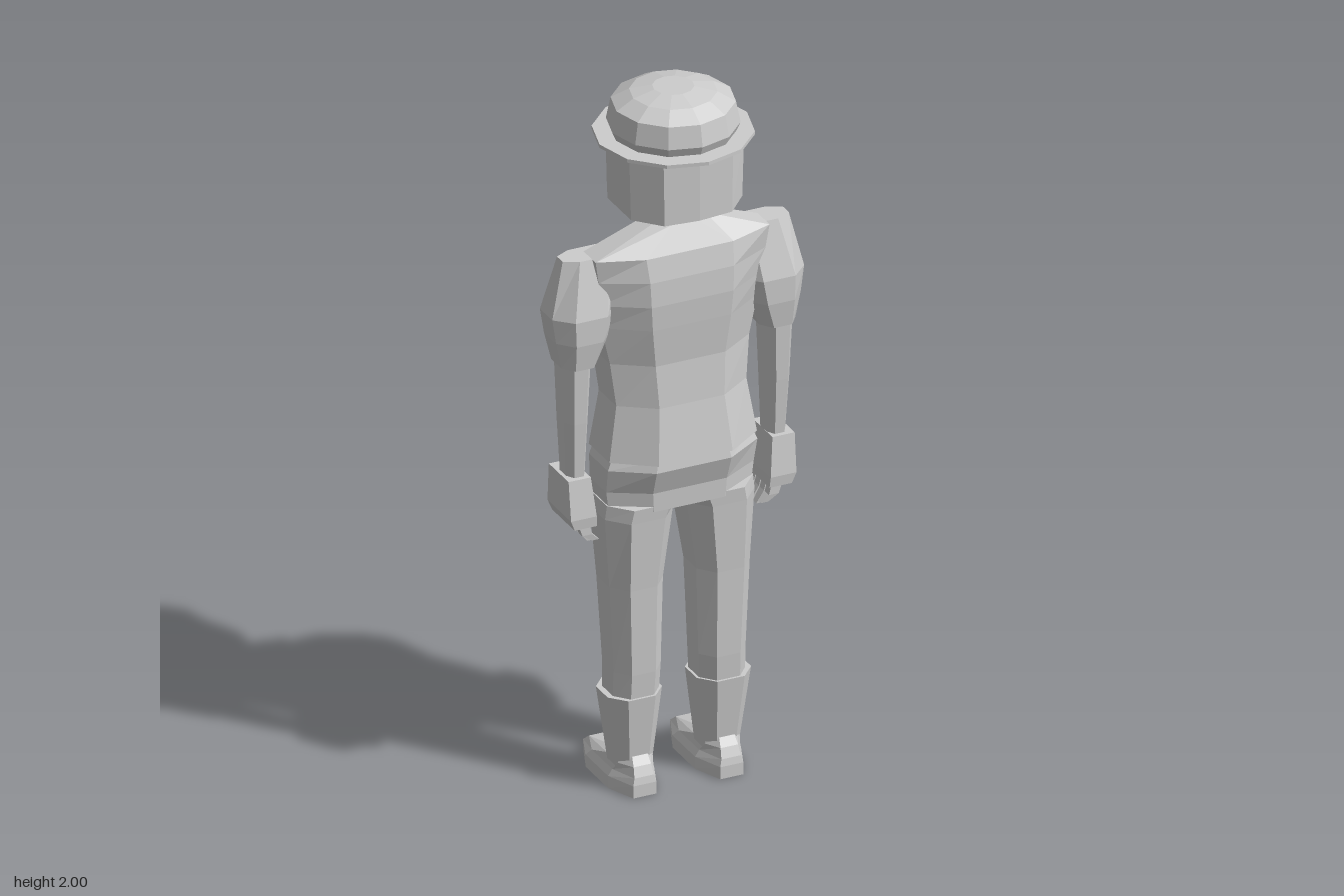
import * as THREE from 'three';

const grey = new THREE.MeshStandardMaterial({ color: 0xcccccc, flatShading: true, side: THREE.DoubleSide });
grey.name = 'light grey';

const OCT = [[1, -0.45], [0.5, -1], [-0.5, -1], [-1, -0.45], [-1, 0.45], [-0.5, 1], [0.5, 1], [1, 0.45]];
const BOX = [[1, -1], [-1, -1], [-1, 1], [1, 1]];

// Stacks rings from bottom to top; each section is [y, centre x, half width, z min, z max]
function loft(sections, profile = OCT) {
  const n = profile.length, pos = [], idx = [];
  for (const [y, cx, hw, z0, z1] of sections)
    for (const [u, v] of profile) pos.push(cx + u * hw, y, (z0 + z1) / 2 + v * (z1 - z0) / 2);
  for (let r = 0; r < sections.length - 1; r++)
    for (let i = 0; i < n; i++) {
      const a = r * n + i, b = r * n + (i + 1) % n;
      idx.push(a, b, b + n, a, b + n, a + n);
    }
  const top = (sections.length - 1) * n;
  for (let i = 1; i < n - 1; i++) idx.push(0, i + 1, i, top, top + i, top + i + 1);
  return surface(pos, idx);
}

function surface(pos, idx) {
  const g = new THREE.BufferGeometry();
  g.setAttribute('position', new THREE.Float32BufferAttribute(pos, 3));
  g.setIndex(idx);
  const flat = g.toNonIndexed();
  flat.computeVertexNormals();
  return flat;
}

export function createModel() {
  const model = new THREE.Group();
  const add = (name, geometry, x = 0, y = 0, z = 0) => {
    const m = new THREE.Mesh(geometry, grey);
    m.name = name;
    m.position.set(x, y, z);
    model.add(m);
    return m;
  };

  // Hat
  add('hatBrim', new THREE.CylinderGeometry(0.212, 0.212, 0.01, 12), 0, 1.87, 0);
  add('hatCrown', new THREE.LatheGeometry(
    [[0.162, 1.87], [0.175, 1.9], [0.163, 1.96], [0.115, 1.987], [0.055, 2], [0, 2]].map(p => new THREE.Vector2(...p)), 12));

  // Hair: an open curtain round the back and sides of the head
  const curtain = [[-0.14, -0.115], [-0.165, -0.06], [-0.165, 0.08], [-0.1, 0.15], [0, 0.16],
    [0.1, 0.15], [0.165, 0.08], [0.165, -0.06], [0.14, -0.115]];
  const hp = [], hi = [];
  curtain.forEach(([x, z], i) => {
    const edge = i === 0 || i === 8;
    hp.push(x * 0.97, edge ? 1.70 : 1.68, z, x, 1.86, z);
    if (i < 8) { const a = i * 2; hi.push(a, a + 2, a + 3, a, a + 3, a + 1); }
  });
  add('hair', surface(hp, hi));

  // Head and neck
  add('head', loft([[1.635, 0, 0.035, -0.13, -0.09], [1.665, 0, 0.075, -0.142, -0.04], [1.7, 0, 0.09, -0.14, 0.05],
    [1.77, 0, 0.1, -0.138, 0.08], [1.87, 0, 0.105, -0.13, 0.1]]));
  add('neck', loft([[1.58, 0, 0.065, -0.05, 0.06], [1.7, 0, 0.055, -0.04, 0.05]]));

  // Face
  add('nose', loft([[1.755, 0, 0.02, -0.168, -0.12], [1.77, 0, 0.018, -0.166, -0.12], [1.82, 0, 0.008, -0.14, -0.12]], BOX));
  add('lips', loft([[1.695, 0, 0.025, -0.146, -0.12], [1.703, 0, 0.03, -0.152, -0.12], [1.711, 0, 0.02, -0.146, -0.12]], BOX));
  for (const s of [-1, 1]) {
    add('moustacheHalf', new THREE.BoxGeometry(0.045, 0.018, 0.025), s * 0.023, 1.735, -0.142).rotation.z = -s * 0.3;
    add('eye', new THREE.BoxGeometry(0.03, 0.012, 0.009), s * 0.042, 1.798, -0.138);
    add('brow', new THREE.BoxGeometry(0.045, 0.01, 0.02), s * 0.043, 1.825, -0.137).rotation.z = s * 0.2;
  }

  // Shirt
  add('shirt', loft([[0.975, 0, 0.212, -0.14, 0.135], [1.13, 0, 0.187, -0.12, 0.112], [1.25, 0, 0.2, -0.135, 0.103],
    [1.36, 0, 0.225, -0.16, 0.112], [1.43, 0, 0.235, -0.14, 0.116], [1.5, 0, 0.24, -0.108, 0.113],
    [1.565, 0, 0.25, -0.06, 0.1], [1.63, 0, 0.075, -0.045, 0.065]]));

  // Crumpled ruffle on the chest
  const rp = [0, 1.45, -0.16], ri = [], N = 32;
  for (let i = 0; i < N; i++) {
    const a = i / N * Math.PI * 2, r = 0.75 + 0.2 * Math.cos(4 * a) + 0.05 * Math.sin(7 * a);
    const fold = i % 2 ? 0.022 : 0;
    const y = 1.4 + Math.sin(a) * r * 0.1;
    rp.push(Math.cos(a) * r * 0.13, y, -0.143 + Math.max(0, y - 1.4) * 0.4 - fold);
    ri.push(0, 1 + (i + 1) % N, 1 + i);
  }
  add('chestRuffle', surface(rp, ri));

  // Trousers
  add('hips', loft([[0.825, 0, 0.205, -0.112, 0.098], [0.88, 0, 0.212, -0.118, 0.1],
    [0.95, 0, 0.215, -0.125, 0.125], [0.985, 0, 0.2, -0.125, 0.12]]));

  for (const s of [-1, 1]) {
    const side = (sections, profile) => loft(sections.map(([y, cx, ...rest]) => [y, s * cx, ...rest]), profile);

    // Leg, cuff and shoe
    add('trouserLeg', side([[0.26, 0.124, 0.066, -0.068, 0.072], [0.35, 0.122, 0.068, -0.07, 0.078],
      [0.6, 0.125, 0.077, -0.087, 0.085], [0.8, 0.117, 0.098, -0.11, 0.095], [0.84, 0.106, 0.104, -0.113, 0.098]]));
    add('ankleCuff', side([[0.07, 0.125, 0.053, -0.055, 0.055], [0.28, 0.128, 0.078, -0.078, 0.08]]));
    add('shoe', side([[0, 0.125, 0.066, -0.207, 0.09], [0.035, 0.125, 0.066, -0.21, 0.09],
      [0.055, 0.125, 0.056, -0.185, 0.086], [0.082, 0.125, 0.05, -0.075, 0.075], [0.105, 0.125, 0.044, -0.045, 0.06]]));

    // Sleeve and arm
    add('sleeve', side([[1.265, 0.285, 0.052, -0.065, 0.065], [1.34, 0.275, 0.077, -0.085, 0.075],
      [1.41, 0.27, 0.092, -0.09, 0.075], [1.565, 0.245, 0.08, -0.04, 0.035]]));
    add('forearm', side([[0.92, 0.288, 0.026, -0.045, 0.035], [1.1, 0.29, 0.034, -0.052, 0.048],
      [1.29, 0.29, 0.042, -0.055, 0.055]]));

    // Hand with four curled fingers and a thumb
    add('hand', side([[0.8, 0.28, 0.032, -0.075, 0.06], [0.83, 0.287, 0.037, -0.078, 0.063],
      [0.94, 0.293, 0.032, -0.068, 0.05]], BOX));
    for (let f = 0; f < 4; f++) {
      const z = -0.072 + f * 0.03, tip = 0.735 + (f === 0 || f === 3 ? 0.015 : 0);
      add('finger', side([[tip, 0.243, 0.01, z + 0.003, z + 0.023], [0.77, 0.268, 0.014, z, z + 0.026],
        [0.81, 0.28, 0.016, z, z + 0.026]], BOX));
    }
    add('thumb', side([[0.81, 0.245, 0.012, -0.112, -0.085], [0.86, 0.255, 0.018, -0.112, -0.072],
      [0.91, 0.275, 0.018, -0.08, -0.04]], BOX));
  }
  return model;
}
